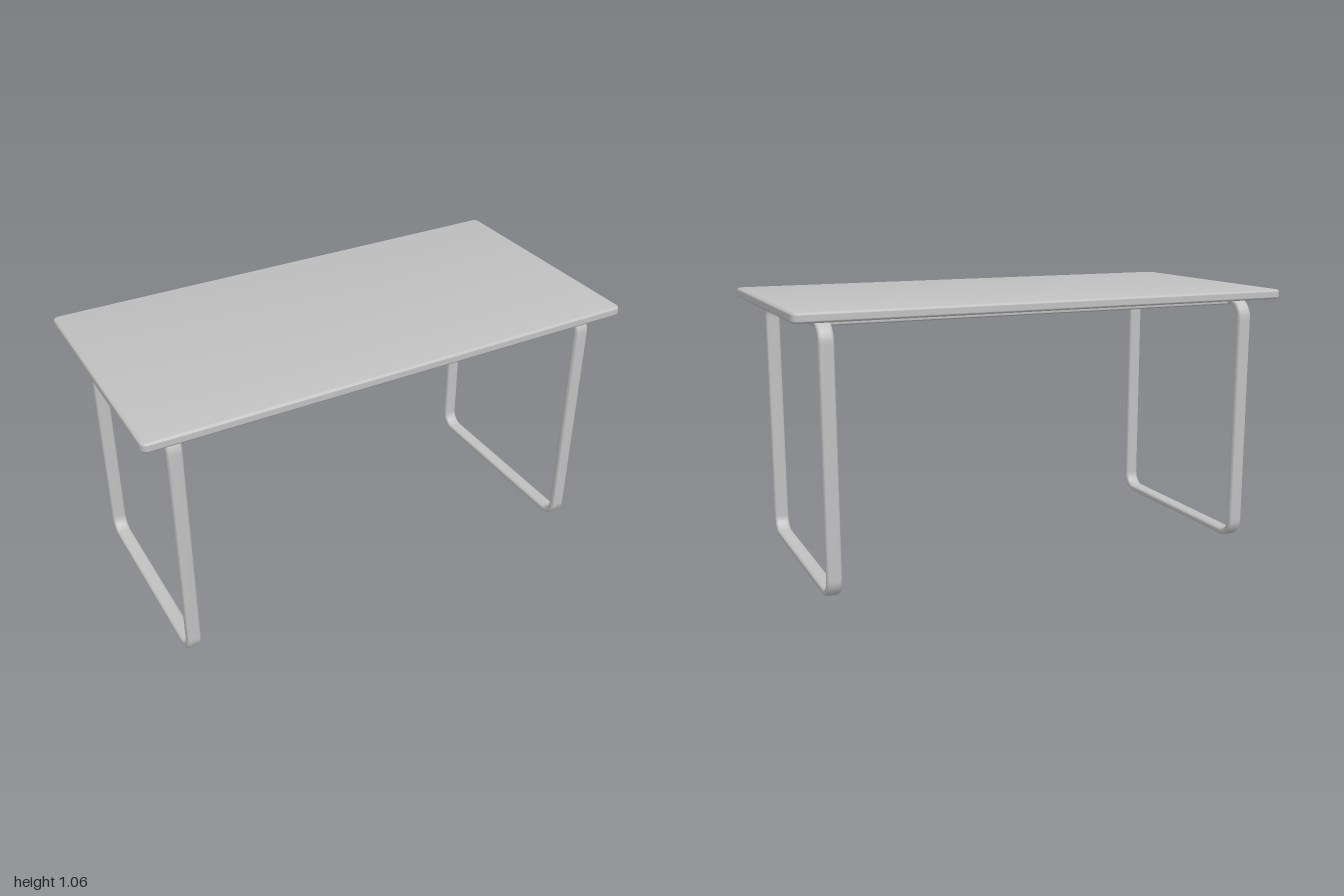
import * as THREE from 'three';
import { toCreasedNormals } from 'three/addons/utils/BufferGeometryUtils.js';

// Rounded rectangle outline centred on the origin
function roundedRect(target, w, h, r) {
  const x = w / 2, y = h / 2, q = Math.PI / 2;
  target.moveTo(x, -y + r);
  target.absarc(x - r, y - r, r, 0, q);
  target.absarc(-x + r, y - r, r, q, 2 * q);
  target.absarc(-x + r, -y + r, r, 2 * q, 3 * q);
  target.absarc(x - r, -y + r, r, 3 * q, 4 * q);
  return target;
}

// Extrusion with rounded edges, centred along its depth
function softExtrude(shape, depth, bevel) {
  const geo = new THREE.ExtrudeGeometry(shape, {
    depth: depth - 2 * bevel, bevelEnabled: true, bevelThickness: bevel,
    bevelSize: bevel, bevelOffset: -bevel, bevelSegments: 4, curveSegments: 12,
  });
  geo.translate(0, 0, -(depth - 2 * bevel) / 2);
  return toCreasedNormals(geo, 0.7);
}

export function createModel() {
  const table = new THREE.Group();
  table.name = 'table';
  const grey = new THREE.MeshStandardMaterial({ color: 0xc0c0c0 });
  grey.name = 'light grey';

  function add(name, geo, x, y, z) {
    const mesh = new THREE.Mesh(geo, grey);
    mesh.name = name;
    mesh.position.set(x, y, z);
    table.add(mesh);
  }

  // Tabletop slab
  const topGeo = softExtrude(roundedRect(new THREE.Shape(), 2, 1, 0.025), 0.038, 0.01);
  topGeo.rotateX(-Math.PI / 2);
  add('tabletop', topGeo, 0, 1.038, 0);

  // Closed loop leg frames of flat rounded tube
  const loop = roundedRect(new THREE.Shape(), 0.884, 1.018, 0.08);
  loop.holes.push(roundedRect(new THREE.Path(), 0.828, 0.962, 0.052));
  const legGeo = softExtrude(loop, 0.057, 0.01);
  legGeo.rotateY(Math.PI / 2);
  add('leftLegFrame', legGeo, 0.87, 0.51, 0);
  add('rightLegFrame', legGeo, -0.87, 0.51, 0);

  // Rail joining the frames under the rear of the top
  const railGeo = softExtrude(roundedRect(new THREE.Shape(), 0.056, 0.03, 0.01), 1.72, 0.002);
  railGeo.rotateY(Math.PI / 2);
  add('rearRail', railGeo, 0, 1.004, -0.33);

  return table;
}
